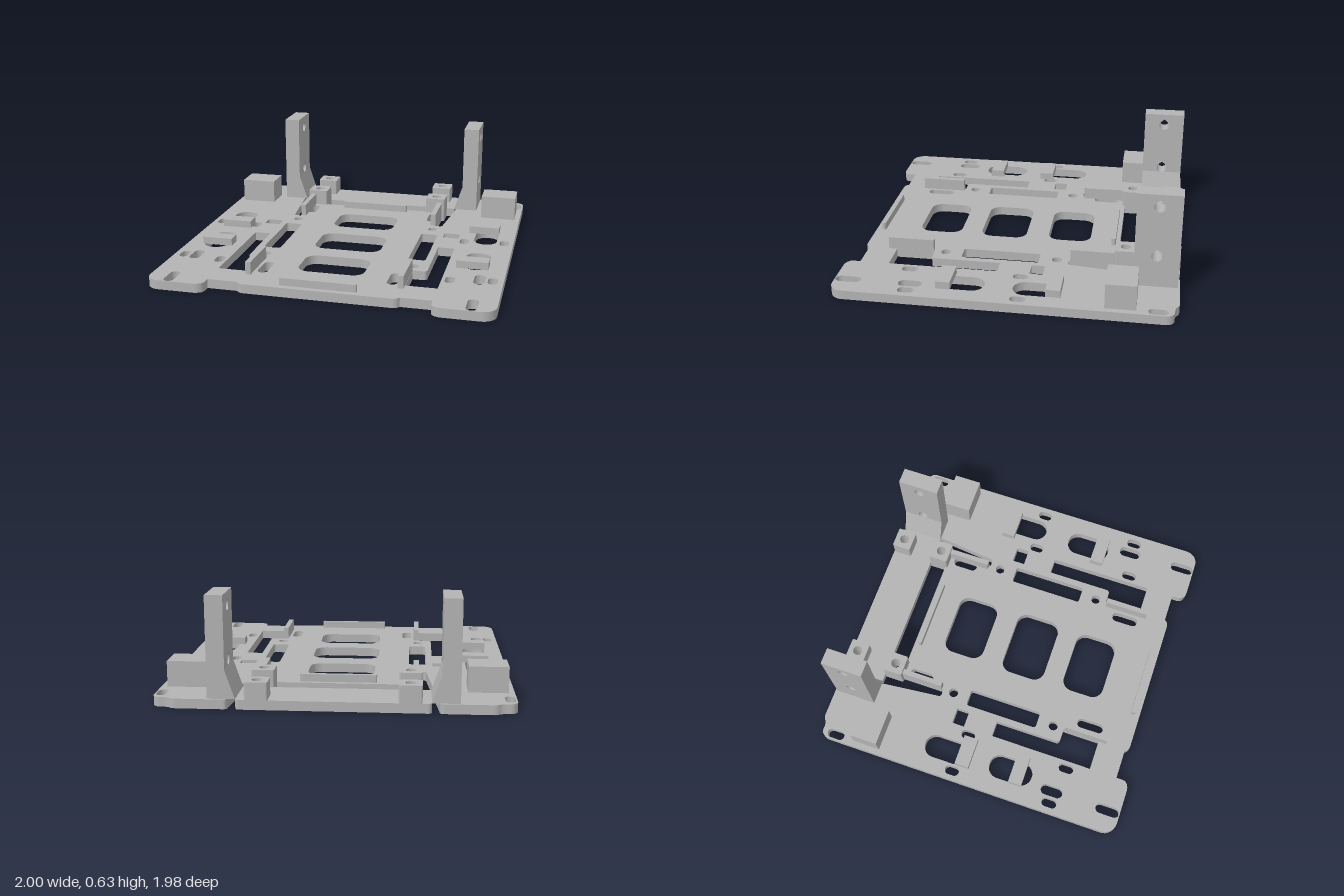
import * as THREE from 'three';

const T = 0.055; // plate thickness

// Closed path through [x, y, radius] corners, each rounded by its radius
function trace(path, pts) {
  const n = pts.length;
  pts.forEach(([x, y, r = 0], i) => {
    const toward = ([px, py]) => {
      const d = Math.hypot(px - x, py - y);
      const k = Math.min(r, d / 2) / d;
      return [x + (px - x) * k, y + (py - y) * k];
    };
    const a = toward(pts[(i + n - 1) % n]);
    const b = toward(pts[(i + 1) % n]);
    if (i === 0) path.moveTo(...a); else path.lineTo(...a);
    if (r > 0) {
      // cubic close to a circular arc
      const c = 0.55;
      path.bezierCurveTo(a[0] + (x - a[0]) * c, a[1] + (y - a[1]) * c,
        b[0] + (x - b[0]) * c, b[1] + (y - b[1]) * c, b[0], b[1]);
    }
  });
  path.closePath();
  return path;
}

// Ground-plan helpers take (x, z); the shape's own y is -z
const plan = pts => pts.map(([x, z, r]) => [x, -z, r]);
const rect = (x0, x1, z0, z1, r = 0) =>
  trace(new THREE.Path(), plan([[x0, z0, r], [x1, z0, r], [x1, z1, r], [x0, z1, r]]));
const circle = (x, z, r) => new THREE.Path().absarc(x, -z, r, 0, Math.PI * 2);

function slab(shape, y0, y1) {
  const g = new THREE.ExtrudeGeometry(shape, { depth: y1 - y0, bevelEnabled: false, curveSegments: 8 });
  return g.rotateX(-Math.PI / 2).translate(0, y0, 0);
}

export function createModel() {
  const group = new THREE.Group();
  const grey = new THREE.MeshStandardMaterial({ color: 0xb4b4b4 });
  grey.name = 'grey';
  const add = (name, geometry) => {
    const m = new THREE.Mesh(geometry, grey);
    m.name = name;
    group.add(m);
  };
  const box = (name, x0, x1, y0, y1, z0, z1) =>
    add(name, new THREE.BoxGeometry(x1 - x0, y1 - y0, z1 - z0)
      .translate((x0 + x1) / 2, (y0 + y1) / 2, (z0 + z1) / 2));

  // Base plate outline, right half mirrored
  const half = [
    [0.45, 0.925, 0.02], [0.47, 0.9], [0.65, 0.9], [0.65, 0.985, 0.06], [1, 0.985, 0.08],
    [1, -0.965, 0.05], [0.91, -0.965, 0.03], [0.885, -0.99, 0.02], [0.58, -0.99, 0.02],
    [0.51, -0.33, 0.015], [0.465, -0.33], [0.465, -0.62],
  ];
  const mirrored = half.map(([x, z, r]) => [-x, z, r]).reverse();
  const plate = trace(new THREE.Shape(), plan([...half, ...mirrored]));

  // Three large windows down the middle
  plate.holes.push(
    rect(-0.2, 0.2, -0.435, -0.17, 0.07),
    rect(-0.21, 0.21, -0.03, 0.255, 0.07),
    rect(-0.2, 0.2, 0.385, 0.65, 0.07),
    // strap windows, offset between the two sides
    rect(-0.9, -0.755, -0.315, -0.035, 0.07),
    rect(0.75, 0.895, -0.33, -0.05, 0.07),
    rect(-0.895, -0.745, 0.115, 0.395, 0.07),
    rect(0.74, 0.89, 0.115, 0.395, 0.07),
  );

  // Slots repeated on both sides: x0, x1, z0, z1, radius
  const slots = [
    [0.935, 0.99, -0.93, -0.82, 0.027], [0.915, 0.97, -0.14, -0.05, 0.027],
    [0.665, 0.72, -0.12, -0.03, 0.027], [0.91, 0.965, 0.5, 0.595, 0.027],
    [0.83, 0.895, 0.47, 0.61, 0.032], [0.67, 0.725, 0.535, 0.63, 0.027],
    [0.835, 0.895, 0.83, 0.98, 0.03], [0.39, 0.45, -0.575, -0.415, 0.03],
    [0.355, 0.415, 0.56, 0.73, 0.03], [0.55, 0.65, -0.2, -0.12, 0],
    [0.405, 0.51, -0.155, 0.315, 0.015],
  ];
  for (const s of [-1, 1]) {
    for (const [a, b, z0, z1, r] of slots) plate.holes.push(rect(s * a, s * b, z0, z1, r));
    for (const z of [-0.26, 0.42]) plate.holes.push(circle(s * 0.46, z, 0.03));
    // stepped cut-out
    plate.holes.push(trace(new THREE.Path(), plan([
      [s * 0.55, 0.07], [s * 0.65, 0.07], [s * 0.65, 0.725], [s * 0.466, 0.725],
      [s * 0.466, 0.49], [s * 0.55, 0.49, 0.02],
    ])));
  }
  add('basePlate', slab(plate, 0, T));

  // Rear crossbar between the towers
  const bar = trace(new THREE.Shape(), plan([
    [-0.535, -0.99, 0.02], [0.535, -0.99, 0.02], [0.535, -0.725], [-0.535, -0.725]]));
  bar.holes.push(circle(-0.42, -0.93, 0.03), circle(0.42, -0.93, 0.03));
  add('rearCrossbar', slab(bar, 0, T));

  for (const s of [-1, 1]) {
    const side = s > 0 ? 'left' : 'right';
    const lo = (a, b) => [Math.min(s * a, s * b), Math.max(s * a, s * b)];

    // Drilled mounting blocks
    for (const [z0, z1, zc, y0, where] of [[-0.99, -0.87, -0.93, T, 'Rear'], [-0.73, -0.605, -0.665, 0, 'Front']]) {
      const shape = trace(new THREE.Shape(), plan(
        [[s * 0.355, z0, 0.01], [s * 0.485, z0, 0.01], [s * 0.485, z1, 0.01], [s * 0.355, z1, 0.01]]));
      shape.holes.push(circle(s * 0.42, zc, 0.03));
      add(`${side}${where}MountBlock`, slab(shape, y0, 0.155));
    }

    // Upright ribs
    box(`${side}RearRib`, ...lo(0.433, 0.465), T, 0.13, -0.605, -0.34);
    box(`${side}FrontRib`, ...lo(0.433, 0.465), T, 0.13, 0.495, 0.775);

    // Corner block
    box(`${side}CornerBlock`, ...lo(0.74, 0.965), T, 0.205, -0.755, -0.58);

    // Tower with teardrop holes
    const tower = trace(new THREE.Shape(), [[0.722, T], [0.978, T], [0.978, 0.63], [0.722, 0.63]]);
    for (const y of [0.25, 0.555]) {
      const drop = new THREE.Path();
      drop.absarc(0.85, y, 0.032, Math.PI * 0.8, Math.PI * 2.2);
      drop.lineTo(0.85, y + 0.042);
      drop.closePath();
      tower.holes.push(drop);
    }
    add(`${side}Tower`, new THREE.ExtrudeGeometry(tower, { depth: 0.1, bevelEnabled: false, curveSegments: 12 })
      .rotateY(Math.PI / 2).translate(lo(0.59, 0.69)[0], 0, 0));

    // Sloped brace at the foot of the tower
    const brace = trace(new THREE.Shape(), [[s * 0.59, T], [s * 0.535, T], [s * 0.59, 0.218]]);
    add(`${side}TowerBrace`, new THREE.ExtrudeGeometry(brace, { depth: 0.256, bevelEnabled: false })
      .translate(0, 0, -0.978));
  }

  // Low stop strips at front and rear
  for (const [name, z0, z1] of [['frontStrip', 0.865, 0.89], ['rearStrip', -0.595, -0.57]]) {
    const shape = trace(new THREE.Shape(), plan(
      [[-0.225, z0, 0.01], [0.225, z0, 0.01], [0.225, z1, 0.01], [-0.225, z1, 0.01]]));
    add(name, slab(shape, T, 0.1));
  }

  // Strap bridges over the side windows
  box('rightRearBridge', -0.9, -0.71, T, 0.1, -0.09, 0);
  box('rightFrontBridge', -0.9, -0.71, T, 0.1, 0.265, 0.35);
  box('leftRearBridge', 0.705, 0.895, T, 0.1, -0.33, -0.245);
  box('leftFrontBridge', 0.705, 0.895, T, 0.1, 0.3, 0.385);

  return group;
}
